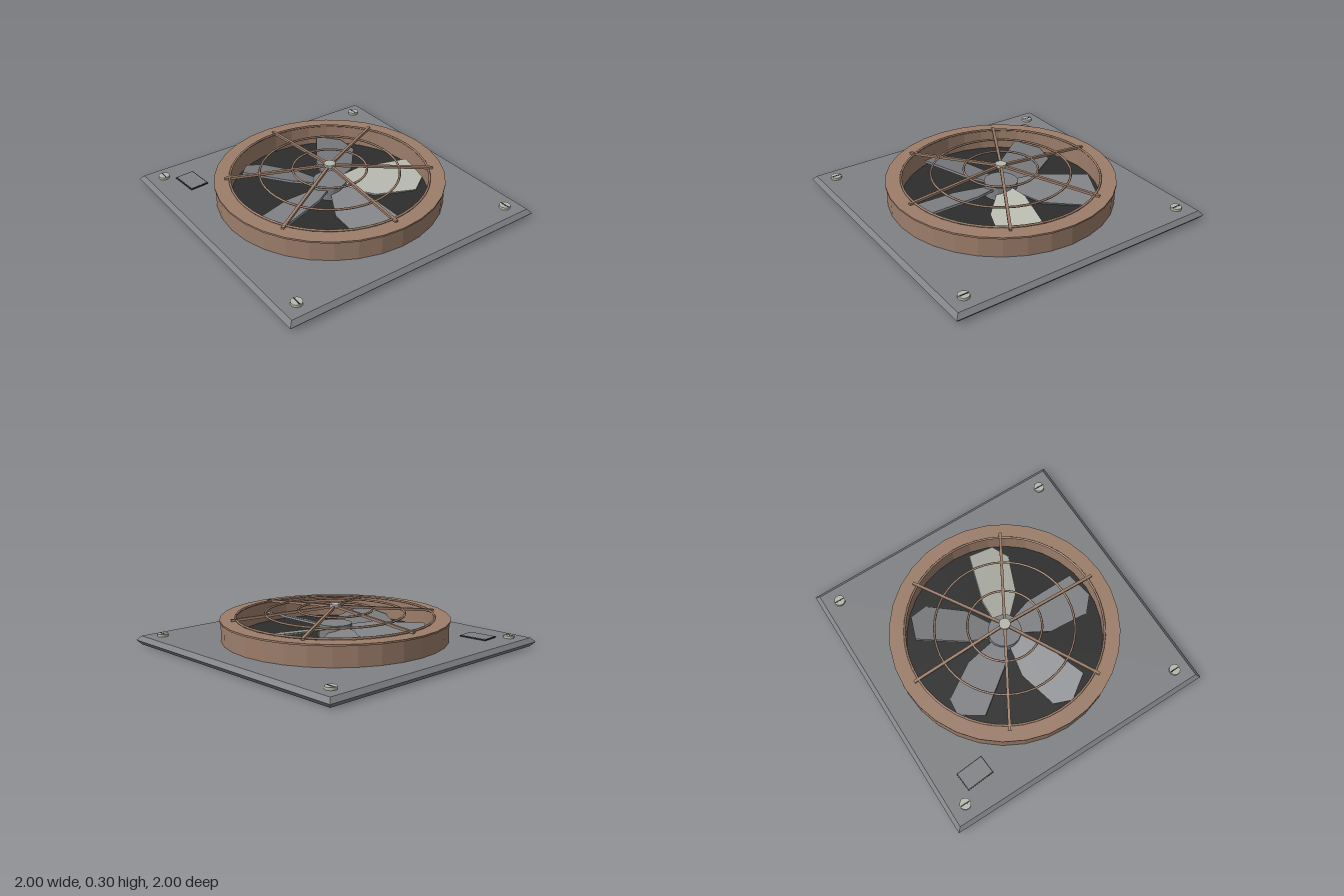
import * as THREE from 'three';

const material = (name, color) => {
  const m = new THREE.MeshStandardMaterial({ color });
  m.name = name;
  return m;
};

export function createModel() {
  const steel = material('grey steel', 0x7f8184);
  const copper = material('brown copper', 0x9c7d6a);
  const cream = material('pale metal', 0xb6b7ad);
  const dark = material('dark interior', 0x2d2d2d);
  const model = new THREE.Group();
  model.name = 'ventilationFan';

  const add = (name, geometry, mat, x = 0, y = 0, z = 0, parent = model) => {
    const mesh = new THREE.Mesh(geometry, mat);
    mesh.name = name;
    mesh.position.set(x, y, z);
    parent.add(mesh);
    return mesh;
  };
  const faceted = (geometry) => {
    const g = geometry.toNonIndexed();
    g.computeVertexNormals();
    return g;
  };

  // Square base plate with a pointed edge: two stacked four-sided frusta
  const frustum = (top, bottom, height) => faceted(
    new THREE.CylinderGeometry(top * Math.SQRT2, bottom * Math.SQRT2, height, 4).rotateY(Math.PI / 4));
  add('basePlateTop', frustum(0.972, 1, 0.03), steel, 0, 0.047, 0);
  add('basePlateBottom', frustum(1, 0.972, 0.032), steel, 0, 0.016, 0);

  // Faceted housing ring with a thin top flange
  const profile = [
    [0.8, 0.06], [0.8, 0.198], [0.808, 0.2], [0.808, 0.212], [0.7, 0.212], [0.7, 0.06],
  ].map(([r, y]) => new THREE.Vector2(r, y));
  add('housingRing', faceted(new THREE.LatheGeometry(profile, 32)), copper);
  add('fanWell', new THREE.CylinderGeometry(0.705, 0.705, 0.006, 32), dark, 0, 0.064, 0);

  // Hub and five pitched blades, one of them pale
  const fan = new THREE.Group();
  fan.name = 'fan';
  model.add(fan);
  add('hub', faceted(new THREE.CylinderGeometry(0.12, 0.12, 0.1, 16)), steel, 0, 0.115, 0, fan);
  const outline = [
    [0.08, -0.05], [0.25, -0.1], [0.62, -0.105], [0.675, 0.08], [0.585, 0.18], [0.29, 0.16], [0.08, 0.05],
  ].map(([u, v]) => new THREE.Vector2(u, v * 1.04));
  const bladeGeometry = new THREE.ExtrudeGeometry(new THREE.Shape(outline), { depth: 0.016, bevelEnabled: false });
  bladeGeometry.translate(0, 0, -0.008).rotateX(Math.PI / 2).rotateX(0.3);
  for (let i = 0; i < 5; i++) {
    const blade = add('blade', bladeGeometry, i === 4 ? cream : steel, 0, 0.125, 0, fan);
    blade.rotation.y = -i * Math.PI * 2 / 5;
  }

  // Shallow conical grille: three rings, six spokes and a centre cap
  const grille = new THREE.Group();
  grille.name = 'grille';
  model.add(grille);
  const slopeY = (r) => 0.283 - 0.09 * r;
  for (const r of [0.26, 0.49, 0.697]) {
    add('grilleRing', new THREE.TorusGeometry(r, 0.008, 6, 48).rotateX(Math.PI / 2), copper, 0, slopeY(r), 0, grille);
  }
  const spokeGeometry = new THREE.BoxGeometry(0.735, 0.018, 0.02);
  spokeGeometry.translate(0.3675, 0, 0).rotateZ(-Math.atan(0.09));
  for (let i = 0; i < 6; i++) {
    add('grilleSpoke', spokeGeometry, copper, 0, 0.283, 0, grille).rotation.y = i * Math.PI / 3;
  }
  add('grilleCap', new THREE.CylinderGeometry(0.04, 0.04, 0.024, 16), cream, 0, 0.288, 0, grille);

  // Slotted corner screws
  for (const x of [-0.865, 0.865]) {
    for (const z of [-0.865, 0.865]) {
      add('screwHead', new THREE.CylinderGeometry(0.039, 0.039, 0.02, 14), cream, x, 0.07, z);
      add('screwSlot', new THREE.BoxGeometry(0.068, 0.003, 0.009), dark, x, 0.08, z);
    }
  }

  // Small blank tag with a dark rim
  const tag = new THREE.Group();
  tag.name = 'tag';
  tag.position.set(-0.702, 0.062, 0.724);
  tag.rotation.y = 0.075;
  model.add(tag);
  add('tagRim', new THREE.BoxGeometry(0.208, 0.009, 0.14), dark, 0, 0.003, 0, tag);
  add('tagFace', new THREE.BoxGeometry(0.194, 0.006, 0.126), steel, 0, 0.006, 0, tag);

  return model;
}
